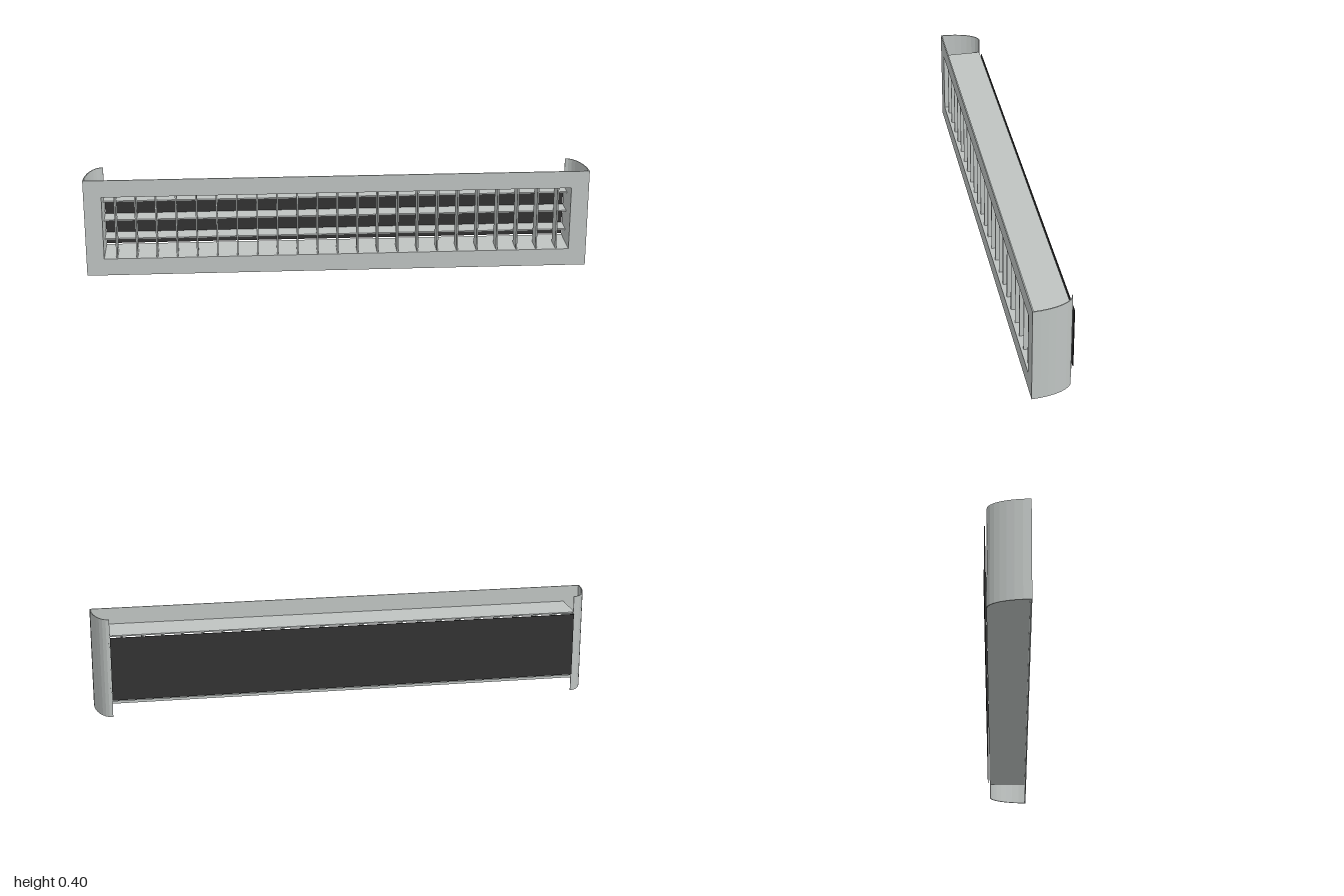
import * as THREE from 'three';

const HEIGHT = 0.4, FRONT = 0.085, BACK = -0.075;
const HALF_W = 0.93, LOW = 0.07, HIGH = 0.33, SHEET = 0.005;

export function createModel() {
  const group = new THREE.Group();
  const metal = new THREE.MeshStandardMaterial({ color: 0xbfc4c2 });
  metal.name = 'greyMetal';
  const dark = new THREE.MeshStandardMaterial({ color: 0x323232 });
  dark.name = 'darkBacking';

  const add = (name, geometry, material = metal) => {
    const mesh = new THREE.Mesh(geometry, material);
    mesh.name = name;
    group.add(mesh);
    return mesh;
  };
  // Box given by its limits on each axis
  const box = (name, x0, x1, y0, y1, z0, z1, material) =>
    add(name, new THREE.BoxGeometry(x1 - x0, y1 - y0, z1 - z0), material)
      .position.set((x0 + x1) / 2, (y0 + y1) / 2, (z0 + z1) / 2);
  const rect = (Type, x, y0, y1) => new Type([
    new THREE.Vector2(-x, y0), new THREE.Vector2(x, y0),
    new THREE.Vector2(x, y1), new THREE.Vector2(-x, y1),
  ]);

  // Front plate with its opening
  const plate = rect(THREE.Shape, 1, 0, HEIGHT);
  plate.holes.push(rect(THREE.Path, HALF_W, LOW, HIGH));
  const plateGeometry = new THREE.ExtrudeGeometry(plate, { depth: SHEET, bevelEnabled: false });
  add('frontPlate', plateGeometry.translate(0, 0, FRONT - SHEET));

  // Duct walls behind the opening
  const outer = HALF_W + SHEET, ductFront = FRONT - SHEET;
  box('ductTop', -outer, outer, HIGH, HIGH + SHEET, BACK, ductFront);
  box('ductBottom', -outer, outer, LOW - SHEET, LOW, BACK, ductFront);

  for (const side of [-1, 1]) {
    const x = side * (HALF_W + SHEET / 2);
    box('ductSide', x - SHEET / 2, x + SHEET / 2, LOW, HIGH, BACK, ductFront);

    // Curved end cheek: a thin quarter-ellipse band, open above and below
    const band = [];
    const arc = (inset, i) => {
      const a = (i / 8) * Math.PI / 2;
      band.push(new THREE.Vector2(
        side * (HALF_W + (0.07 - inset) * Math.cos(a)),
        -FRONT + (FRONT - BACK - inset) * Math.sin(a)));
    };
    for (let i = 0; i <= 8; i++) arc(0, i);
    for (let i = 8; i >= 0; i--) arc(0.004, i);
    const cheek = new THREE.ExtrudeGeometry(new THREE.Shape(band), { depth: HEIGHT, bevelEnabled: false });
    add('endCheek', cheek.rotateX(-Math.PI / 2));
  }

  // Upright louvres, with level louvres behind them
  for (let i = -11; i <= 11; i++) {
    const x = i * 0.08;
    box('uprightLouvre', x - 0.003, x + 0.003, LOW, HIGH, 0, 0.075);
  }
  for (const y of [0.12, 0.2, 0.28]) {
    box('levelLouvre', -HALF_W, HALF_W, y - 0.003, y + 0.003, BACK, -0.002);
  }

  // Dark sheet just behind the duct
  box('backSheet', -HALF_W, HALF_W, 0.072, 0.328, -0.084, -0.081, dark);

  return group;
}
